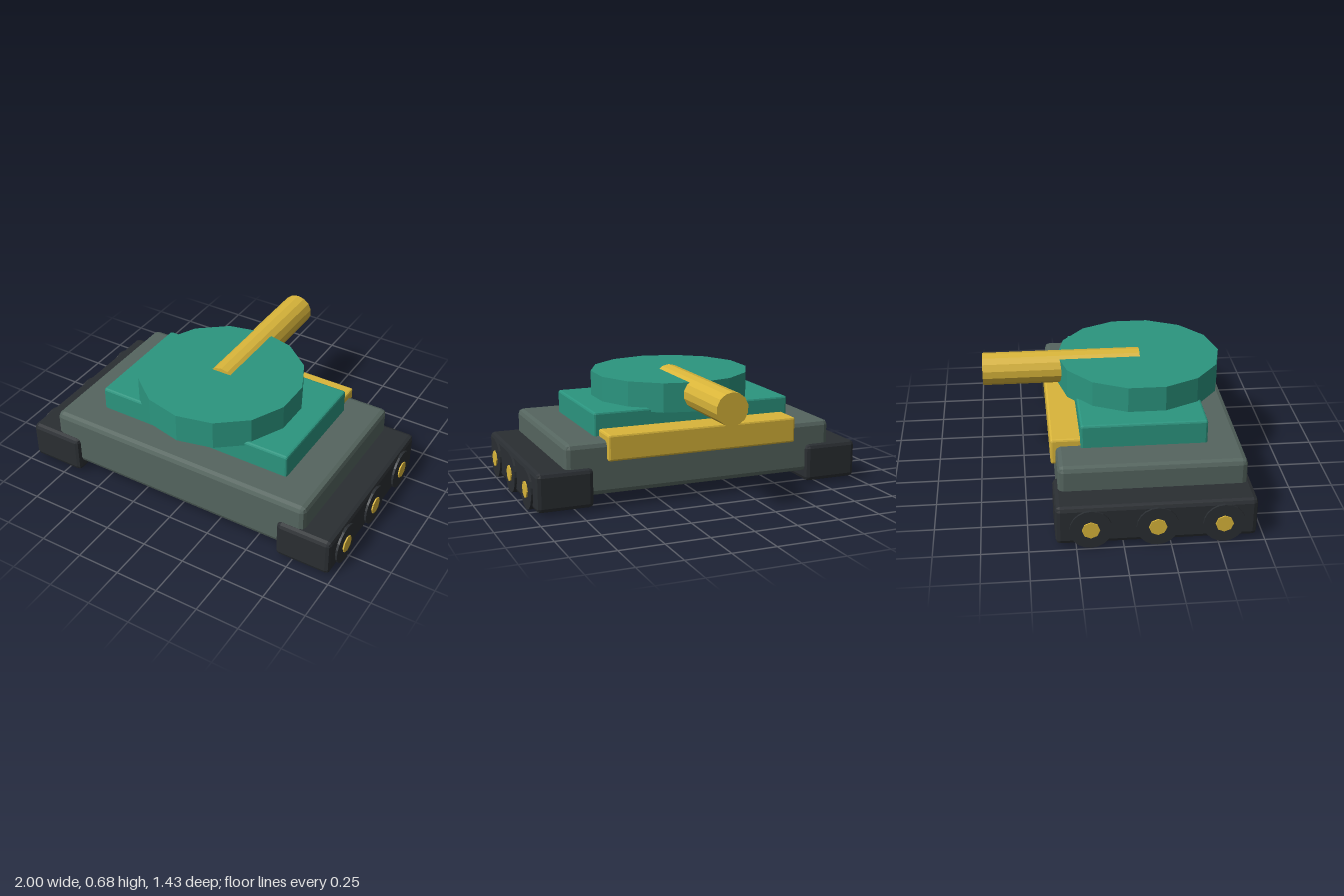
import * as THREE from 'three';
import { RoundedBoxGeometry } from 'three/addons/geometries/RoundedBoxGeometry.js';

const paint = (color) => new THREE.MeshStandardMaterial({ color, flatShading: true });

export function createModel() {
  const model = new THREE.Group();
  const hullGrey = paint(0x55655f);
  const black = paint(0x2a2e32);
  const teal = paint(0x2b957f);
  const gold = paint(0xd9b53a);

  function add(name, geometry, material, x, y, z) {
    const mesh = new THREE.Mesh(geometry, material);
    mesh.name = name;
    mesh.position.set(x, y, z);
    model.add(mesh);
    return mesh;
  }

  // Box with chamfered edges, given by its limits on each axis
  function block(name, material, [x0, x1], [y0, y1], [z0, z1], bevel) {
    const geometry = new RoundedBoxGeometry(x1 - x0, y1 - y0, z1 - z0, 1, bevel);
    return add(name, geometry, material, (x0 + x1) / 2, (y0 + y1) / 2, (z0 + z1) / 2);
  }

  // Body
  block('hull', hullGrey, [-0.81, 0.81], [0.08, 0.382], [-0.333, 0.684], 0.03);
  block('deck', teal, [-0.6, 0.6], [0.34, 0.515], [-0.197, 0.497], 0.012);
  block('rearBox', gold, [-0.572, 0.572], [0.272, 0.422], [-0.36, -0.15], 0.012);

  // Turret and gun
  add('turret', new THREE.CylinderGeometry(0.47, 0.47, 0.168, 14), teal, 0, 0.576, 0.18);
  const barrel = new THREE.CylinderGeometry(0.093, 0.093, 0.903, 14).rotateX(Math.PI / 2);
  add('gunBarrel', barrel, gold, 0, 0.591, -0.266);

  // Tracks with wheels and hubs on both sides
  const wheel = new THREE.CylinderGeometry(0.112, 0.112, 0.265, 20).rotateZ(Math.PI / 2);
  const hub = new THREE.CylinderGeometry(0.048, 0.048, 0.1, 8).rotateZ(Math.PI / 2);
  for (const [side, s] of [['left', 1], ['right', -1]]) {
    const track = block(side + 'Track', black, [0.655, 0.98], [0.022, 0.244], [-0.358, 0.71], 0.025);
    track.position.x *= s;
    for (const z of [0.53, 0.178, -0.174]) {
      add(side + 'Wheel', wheel, black, s * 0.86, 0.116, z);
      add(side + 'Hub', hub, gold, s * 0.95, 0.116, z);
    }
  }
  return model;
}
